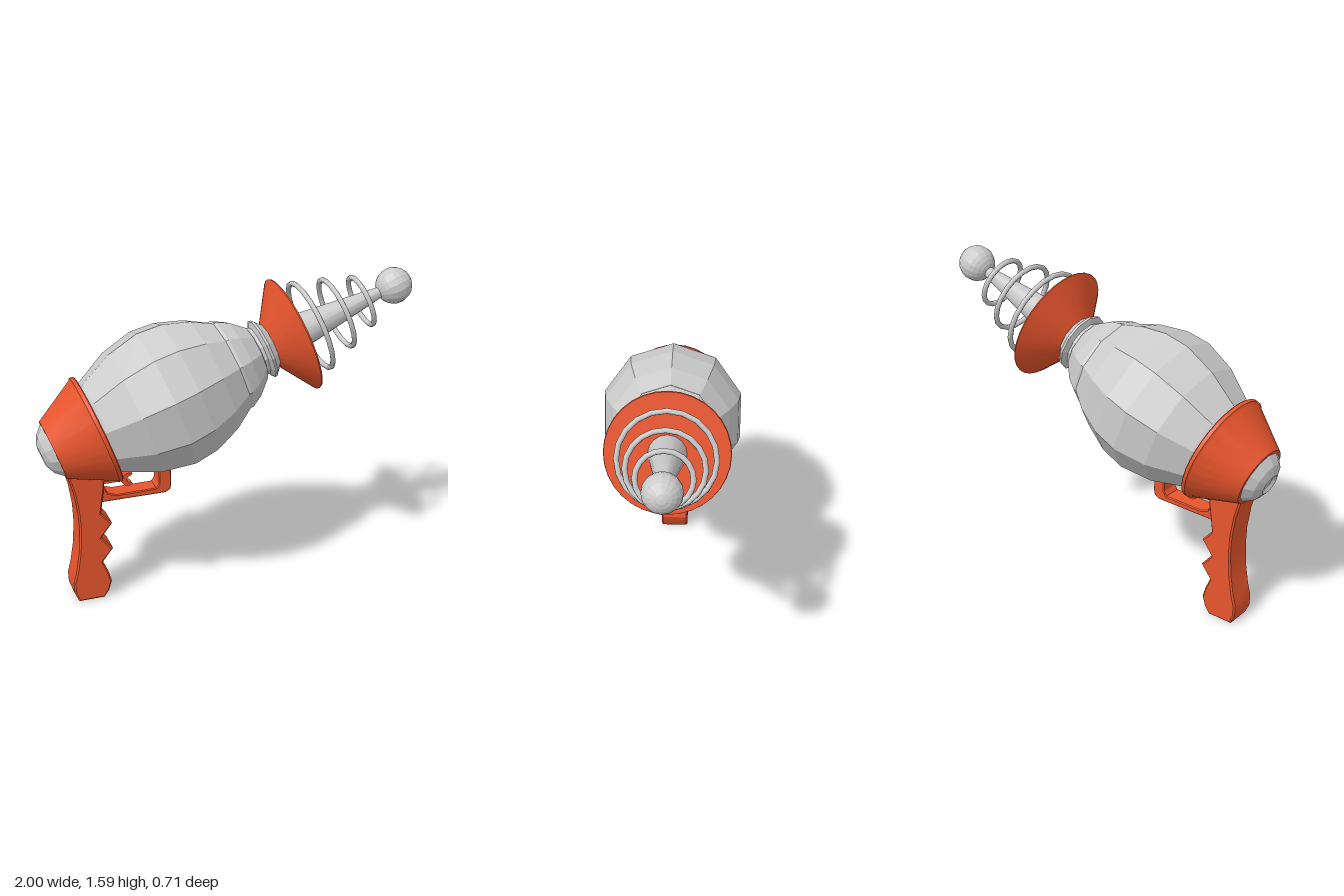
import * as THREE from 'three';
import { toCreasedNormals } from 'three/addons/utils/BufferGeometryUtils.js';

const TILT = THREE.MathUtils.degToRad(19.7);
const grey = new THREE.MeshStandardMaterial({ color: 0xcccccc, flatShading: true });
const greySmooth = new THREE.MeshStandardMaterial({ color: 0xcccccc });
const orange = new THREE.MeshStandardMaterial({ color: 0xe8552d });

function add(parent, name, geometry, material) {
  const mesh = new THREE.Mesh(geometry, material);
  mesh.name = name;
  parent.add(mesh);
  return mesh;
}

// Turned part: profile is [distance along barrel axis, radius]
function turned(profile, sides) {
  const pts = profile.map(([s, r]) => new THREE.Vector2(r, s));
  return new THREE.LatheGeometry(pts, sides, Math.PI / 2);
}

// Side outline extruded symmetrically about z = 0, with a small bevel
function slab(outline, width, bevel) {
  const shape = new THREE.Shape(outline.map(([x, y]) => new THREE.Vector2(x, y)));
  const depth = width - 2 * bevel;
  const g = new THREE.ExtrudeGeometry(shape, {
    depth, bevelEnabled: bevel > 0, bevelSize: bevel, bevelOffset: -bevel,
    bevelThickness: bevel, bevelSegments: 1,
  });
  g.translate(0, 0, -depth / 2);
  return toCreasedNormals(g, 0.45);
}

export function createModel() {
  const model = new THREE.Group();
  model.name = 'rayBlaster';

  // Everything turned about the tilted barrel axis
  const gun = new THREE.Group();
  gun.name = 'barrelAssembly';
  gun.position.set(-0.7, 0.925, 0);
  gun.rotation.z = TILT - Math.PI / 2;
  model.add(gun);

  // Ten-sided bulging body
  add(gun, 'body', turned([
    [-0.02, 0], [-0.02, 0.22], [0.03, 0.255], [0.2, 0.338], [0.37, 0.375], [0.5, 0.362],
    [0.64, 0.31], [0.745, 0.245], [0.76, 0.246], [0.82, 0.213], [0.895, 0.145], [0.895, 0],
  ], 10), grey);

  // Waisted neck with flange
  add(gun, 'neck', turned([
    [0.87, 0], [0.87, 0.15], [0.9, 0.128], [0.918, 0.128], [0.932, 0.158],
    [0.945, 0.156], [0.985, 0.112], [0.985, 0],
  ], 12), grey);

  // Rear cap, its lip, and the tail plug
  add(gun, 'rearCap', toCreasedNormals(turned([
    [-0.238, 0], [-0.238, 0.158], [-0.018, 0.278], [-0.012, 0.287], [0.006, 0.287], [0.012, 0.28],
    [0.012, 0.22],
  ], 32), 0.5), orange);
  add(gun, 'tailPlug', turned([
    [-0.288, 0], [-0.288, 0.035], [-0.302, 0.055], [-0.28, 0.105], [-0.236, 0.145], [-0.22, 0],
  ], 12), grey);

  // Flared shield
  add(gun, 'shield', toCreasedNormals(turned([
    [0.965, 0], [0.965, 0.1], [1.11, 0.307], [1.118, 0.304], [1.118, 0],
  ], 32), 0.5), orange);

  // Tapered barrel and ball tip
  add(gun, 'barrel', toCreasedNormals(turned([
    [1.1, 0], [1.1, 0.097], [1.64, 0.026], [1.64, 0],
  ], 16), 0.5), greySmooth);
  add(gun, 'tipBall', new THREE.SphereGeometry(0.095, 16, 12), grey).position.y = 1.705;

  // Floating rings that shrink toward the tip
  for (const [s, r] of [[1.215, 0.237], [1.367, 0.187], [1.513, 0.133]]) {
    const ring = add(gun, 'ring', new THREE.TorusGeometry(r, 0.0135, 8, 20), greySmooth);
    ring.rotation.x = Math.PI / 2;
    ring.position.y = s;
  }

  // Pistol grip with finger notches
  add(model, 'grip', slab([
    [-0.85, 0.78], [-0.87, 0.71], [-0.845, 0.62], [-0.828, 0.5], [-0.825, 0.4], [-0.833, 0.28],
    [-0.85, 0.18], [-0.868, 0.11], [-0.866, 0.05], [-0.845, 0], [-0.71, 0], [-0.685, 0.035],
    [-0.668, 0.09], [-0.685, 0.15], [-0.71, 0.21], [-0.655, 0.28], [-0.713, 0.35],
    [-0.655, 0.425], [-0.71, 0.49], [-0.7, 0.56], [-0.688, 0.64], [-0.68, 0.78],
  ], 0.15, 0.008), orange);

  // Trigger guard
  add(model, 'triggerGuard', slab([
    [-0.72, 0.54], [-0.36, 0.54], [-0.335, 0.555], [-0.33, 0.58], [-0.33, 0.72], [-0.395, 0.72],
    [-0.395, 0.595], [-0.41, 0.572], [-0.62, 0.57], [-0.665, 0.585], [-0.69, 0.64], [-0.72, 0.64],
  ], 0.1, 0.005), orange);

  // Trigger: a short rod ending in a crescent
  const trigger = new THREE.Group();
  trigger.name = 'trigger';
  model.add(trigger);
  add(trigger, 'triggerRod', new THREE.BoxGeometry(0.13, 0.014, 0.04), orange)
    .position.set(-0.64, 0.634, 0);
  const crescent = [];
  for (let i = 0; i <= 10; i++) {
    const a = 0.9 + (i / 10) * (2 * Math.PI - 1.8);
    crescent.push([-0.55 + 0.036 * Math.cos(a), 0.634 + 0.036 * Math.sin(a)]);
  }
  for (let i = 0; i <= 6; i++) {
    const a = -1.5 - (i / 6) * (2 * Math.PI - 3);
    crescent.push([-0.538 + 0.02 * Math.cos(a), 0.634 + 0.02 * Math.sin(a)]);
  }
  add(trigger, 'triggerCrescent', slab(crescent, 0.05, 0), orange);

  return model;
}
